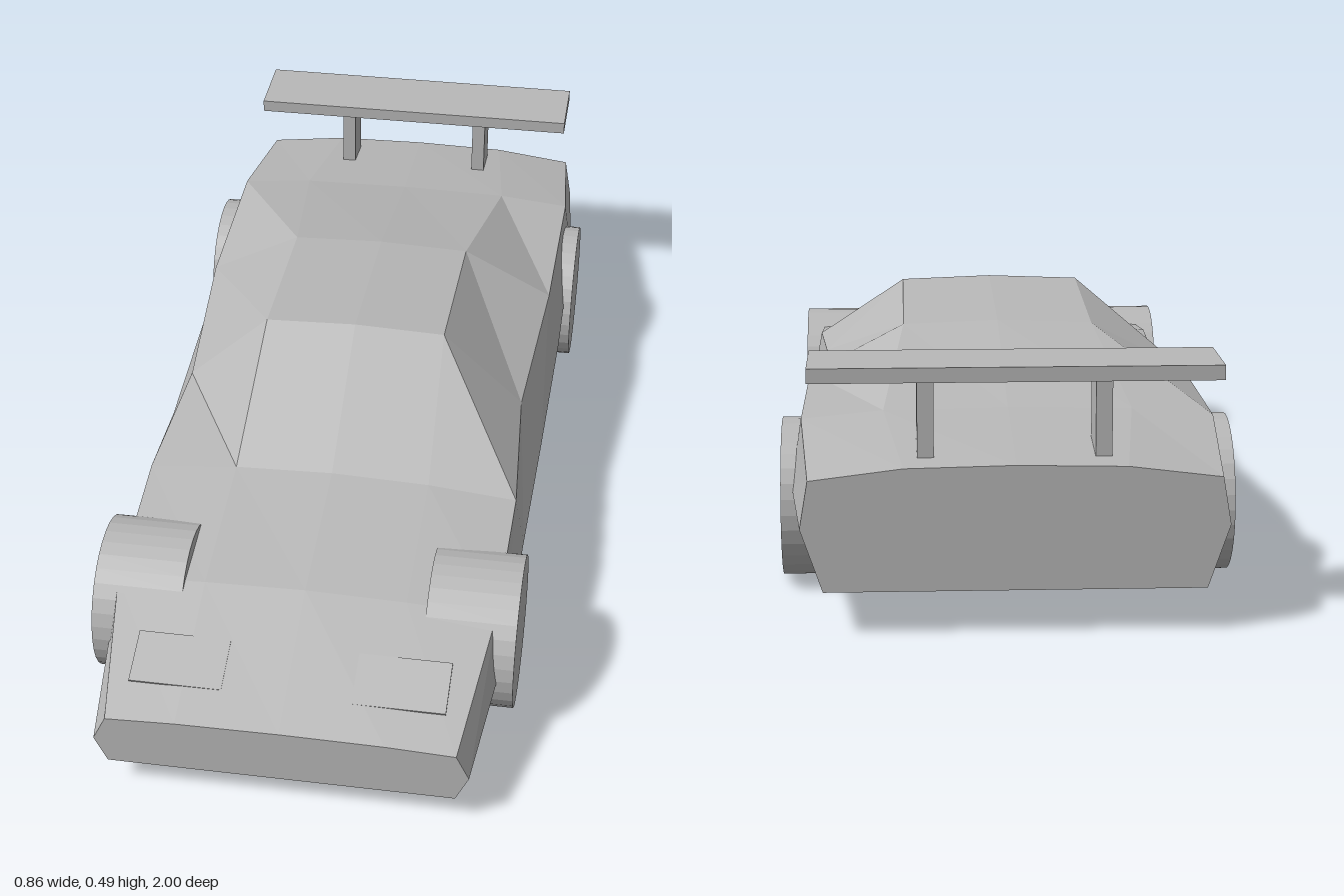
import * as THREE from 'three';

const paint = new THREE.MeshStandardMaterial({ color: 0xb8b8b8, flatShading: true });
paint.name = 'grey';

// Half cross-sections: z, then x,y of sill, belt, shoulder, roof edge, and centre height
const stations = [
  [1.0, 0.335, 0.06, 0.36, 0.115, 0.335, 0.168, 0.2, 0.174, 0.176],
  [0.7, 0.365, 0.06, 0.393, 0.155, 0.375, 0.26, 0.2, 0.27, 0.275],
  [0.38, 0.368, 0.06, 0.4, 0.182, 0.38, 0.292, 0.2, 0.31, 0.317],
  [0.07, 0.37, 0.06, 0.407, 0.197, 0.36, 0.312, 0.19, 0.47, 0.477],
  [-0.31, 0.37, 0.062, 0.413, 0.207, 0.385, 0.34, 0.193, 0.44, 0.447],
  [-0.71, 0.365, 0.068, 0.41, 0.205, 0.39, 0.335, 0.235, 0.35, 0.354],
  [-1.0, 0.345, 0.083, 0.385, 0.2, 0.37, 0.288, 0.2, 0.309, 0.313],
];

function bodyGeometry() {
  const rings = stations.map(([z, ...p]) => {
    const half = [0, 2, 4, 6].map((k) => [p[k], p[k + 1], z]);
    const mirrored = half.map(([x, y]) => [-x, y, z]).reverse();
    return [...half, [0, p[8], z], ...mirrored];
  });
  const n = rings[0].length;
  const out = [];
  const tri = (...corners) => corners.forEach((c) => out.push(...c));
  for (let s = 0; s < rings.length - 1; s++) {
    const front = rings[s], back = rings[s + 1];
    for (let i = 0; i < n; i++) {
      const j = (i + 1) % n;
      tri(front[i], back[j], front[j]);
      tri(front[i], back[i], back[j]);
    }
  }
  // Nose and tail caps
  const nose = rings[0], tail = rings[rings.length - 1];
  for (let i = 1; i < n - 1; i++) {
    tri(nose[0], nose[i], nose[i + 1]);
    tri(tail[0], tail[i + 1], tail[i]);
  }
  const geometry = new THREE.BufferGeometry();
  geometry.setAttribute('position', new THREE.Float32BufferAttribute(out, 3));
  geometry.computeVertexNormals();
  return geometry;
}

export function createModel() {
  const car = new THREE.Group();
  car.name = 'sportsCar';
  const add = (name, geometry, x = 0, y = 0, z = 0) => {
    const mesh = new THREE.Mesh(geometry, paint);
    mesh.name = name;
    mesh.position.set(x, y, z);
    car.add(mesh);
    return mesh;
  };

  add('body', bodyGeometry());

  const wheel = new THREE.CylinderGeometry(0.1525, 0.1525, 0.178, 32).rotateZ(Math.PI / 2);
  const strut = new THREE.BoxGeometry(0.03, 0.16, 0.095);
  const headlamp = new THREE.BoxGeometry(0.18, 0.004, 0.11);
  for (const [side, s] of [['left', 1], ['right', -1]]) {
    add(side + 'FrontWheel', wheel, s * 0.329, 0.1525, 0.617);
    add(side + 'RearWheel', wheel, s * 0.34, 0.161, -0.612);
    add(side + 'SpoilerStrut', strut, s * 0.16, 0.385, -0.905);
    // Flush lamp cover lying on the sloping bonnet
    add(side + 'Headlamp', headlamp, s * 0.215, 0.2155, 0.87).rotation.x = 0.315;
  }

  add('spoilerWing', new THREE.BoxGeometry(0.738, 0.027, 0.165), 0, 0.477, -0.9175);
  return car;
}
